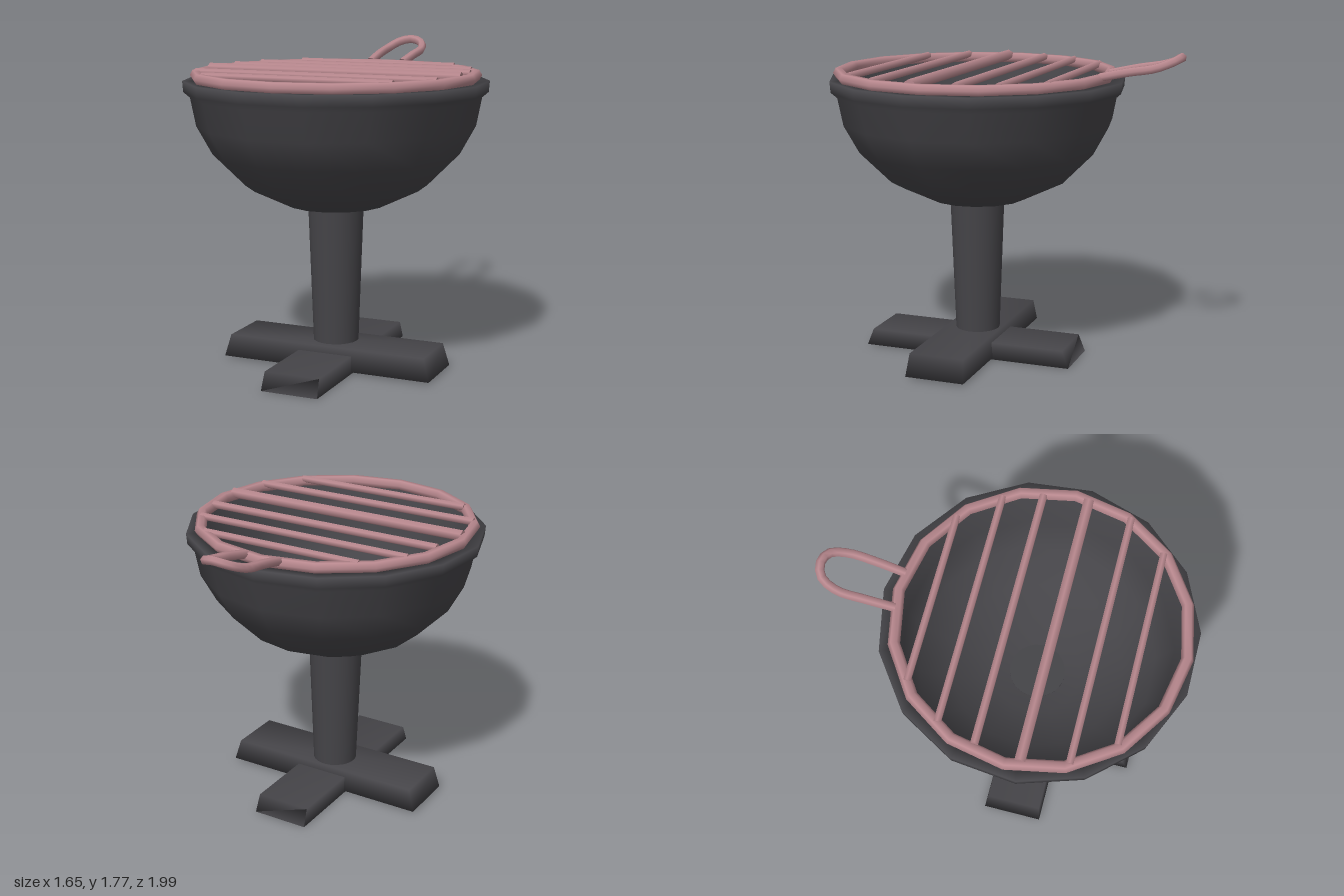
import * as THREE from 'three';
import { mergeVertices } from 'three/addons/utils/BufferGeometryUtils.js';

export function createModel() {
  const group = new THREE.Group();
  const iron = new THREE.MeshStandardMaterial({ color: 0x454448 });
  const copper = new THREE.MeshStandardMaterial({ color: 0xb8888e, side: THREE.DoubleSide });
  iron.name = 'dark iron';
  copper.name = 'rosy metal';
  const CZ = 0.185; // shared axis of bowl, stem and feet

  const add = (name, geometry, material, x = 0, y = 0, z = 0) => {
    const mesh = new THREE.Mesh(geometry, material);
    mesh.name = name;
    mesh.position.set(x, y, z);
    group.add(mesh);
    return mesh;
  };

  // Foot beam: a box narrowed at the top, with softly shared normals
  const beam = (w, h, d, topW, topD) => {
    let g = new THREE.BoxGeometry(w, h, d);
    const p = g.attributes.position;
    for (let i = 0; i < p.count; i++) {
      if (p.getY(i) > 0) {
        p.setX(i, Math.sign(p.getX(i)) * topW / 2);
        p.setZ(i, Math.sign(p.getZ(i)) * topD / 2);
      }
    }
    g.deleteAttribute('normal');
    g.deleteAttribute('uv');
    g = mergeVertices(g);
    g.computeVertexNormals();
    return g;
  };
  add('crossFoot', beam(1.23, 0.125, 0.34, 1.16, 0.315), iron, 0.005, 0.0725, 0.2);
  add('lengthFoot', beam(0.325, 0.097, 1.235, 0.315, 1.16), iron, 0.008, 0.0485, 0.198);

  // Tapered stem
  add('stem', new THREE.CylinderGeometry(0.155, 0.124, 0.86, 20), iron, 0, 0.5, CZ);

  // Bowl: outer wall, rim lip, then the hollow inside
  const profile = [
    [0, 0.875], [0.14, 0.88], [0.27, 0.905], [0.5, 1.015], [0.675, 1.19],
    [0.76, 1.345], [0.79, 1.5], [0.825, 1.53], [0.83, 1.59],
    [0.755, 1.59], [0.725, 1.345], [0.64, 1.2], [0.48, 1.04], [0.25, 0.935], [0, 0.91],
  ].map(([r, y]) => new THREE.Vector2(r, y));
  add('bowl', new THREE.LatheGeometry(profile, 15, Math.PI), iron, 0, 0, 0.178);

  // Grate ring
  const ring = new THREE.TorusGeometry(0.76, 0.032, 6, 16);
  ring.rotateX(Math.PI / 2);
  add('grateRing', ring, copper, 0.003, 1.615, 0.19);

  // Grate bars: z, half length, thickness
  const bars = [
    [-0.39, 0.475, 0.021], [-0.185, 0.645, 0.021], [0.022, 0.707, 0.023],
    [0.262, 0.737, 0.031], [0.502, 0.69, 0.022], [0.71, 0.535, 0.021],
  ];
  for (const [z, half, r] of bars) {
    const bar = new THREE.CylinderGeometry(r, r, half * 2, 6);
    bar.rotateZ(Math.PI / 2);
    bar.rotateX(Math.PI / 2);
    add('grateBar', bar, copper, 0.005, 1.632, z);
  }

  // Looped handle rising behind the ring
  const side = [[0.1, 1.63, -0.56], [0.108, 1.665, -0.72], [0.108, 1.69, -0.86], [0.07, 1.725, -0.95]];
  const path = [
    ...side.map(([x, y, z]) => new THREE.Vector3(-x, y, z)),
    new THREE.Vector3(0, 1.742, -0.975),
    ...side.slice().reverse().map(([x, y, z]) => new THREE.Vector3(x, y, z)),
  ];
  add('handle', new THREE.TubeGeometry(new THREE.CatmullRomCurve3(path), 24, 0.025, 6), copper);

  return group;
}
